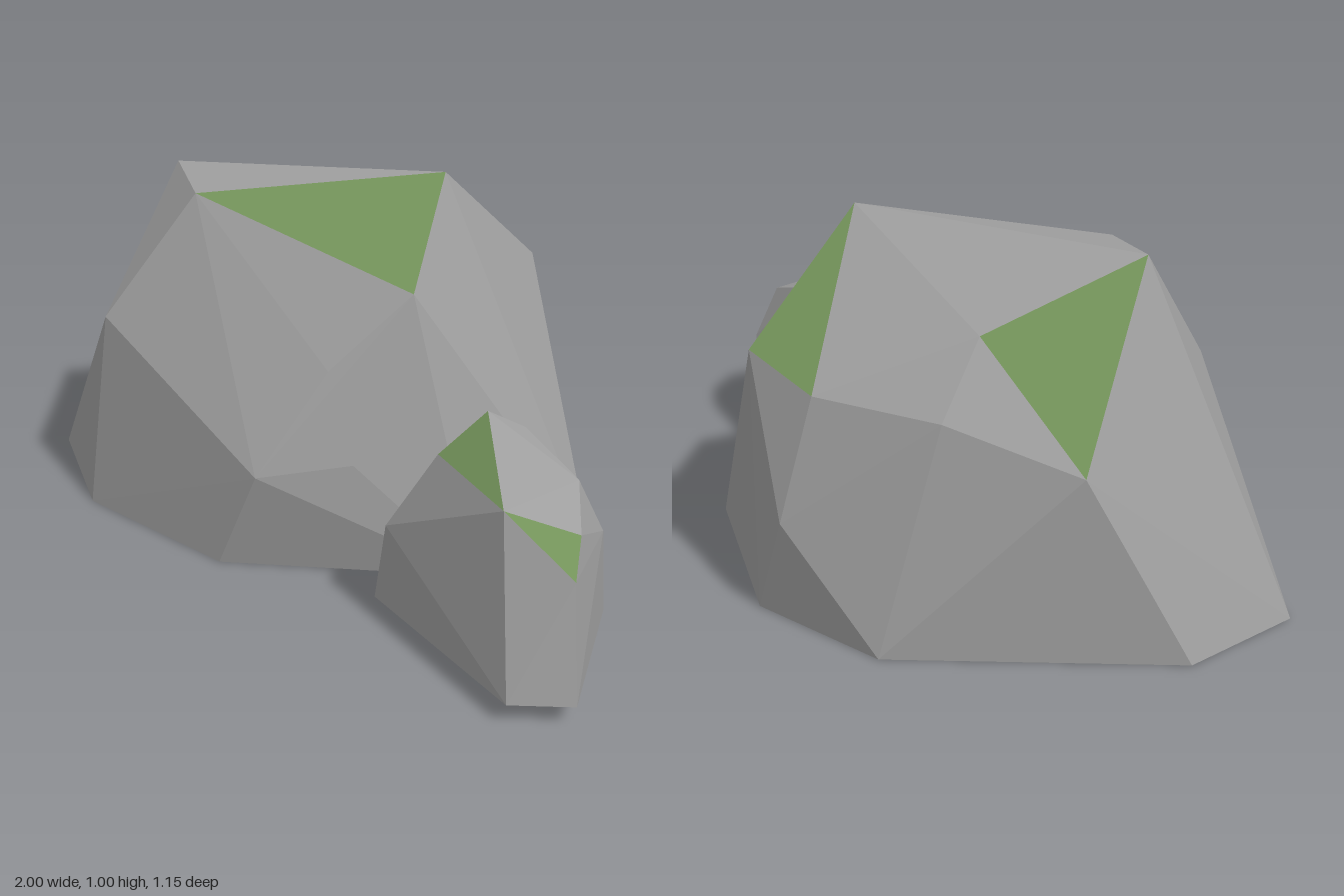
import * as THREE from 'three';
import { ConvexGeometry } from 'three/addons/geometries/ConvexGeometry.js';

const stone = new THREE.MeshStandardMaterial({ color: 0x9e9e9e });
stone.name = 'stone';
const moss = new THREE.MeshStandardMaterial({ color: 0x73935a });
moss.name = 'moss';

// A faceted boulder: hull around corner points; facets listed in patches are mossy.
function boulder(name, corners, patches) {
  const points = corners.map((c) => new THREE.Vector3(...c));
  const geometry = new ConvexGeometry(points);
  const position = geometry.attributes.position;
  const v = new THREE.Vector3();
  const cornerAt = (i) => {
    v.fromBufferAttribute(position, i);
    return points.findIndex((p) => p.distanceTo(v) < 1e-3);
  };
  for (let i = 0; i < position.count; i += 3) {
    const facet = [cornerAt(i), cornerAt(i + 1), cornerAt(i + 2)];
    const mossy = patches.some((patch) => facet.every((c) => patch.includes(c)));
    geometry.addGroup(i, 3, mossy ? 1 : 0);
  }
  const mesh = new THREE.Mesh(geometry, [stone, moss]);
  mesh.name = name;
  return mesh;
}

export function createModel() {
  const group = new THREE.Group();
  group.name = 'mossyRocks';

  group.add(boulder('largeRock', [
    // crown
    [-0.42, 0.93, 0.31], [0.07, 1, -0.14], [0.2, 0.765, 0.11], [-0.62, 0.95, 0.21],
    // shoulders
    [0.09, 0.68, -0.485], [-0.15, 0.627, -0.48], [-0.76, 0.51, -0.15], [-0.43, 0.786, -0.18],
    [-0.46, 0.61, -0.335], [-0.57, 0.59, 0.525], [0.08, 0.57, 0.3],
    // lower bulges
    [0, 0.3, 0.49], [0.17, 0.33, 0.3], [-0.13, 0.3, -0.577],
    // foot
    [-1, 0, 0.41], [-0.64, 0, 0.575], [-0.13, 0, 0.52], [0.41, 0, 0.08],
    [0.485, 0, -0.3], [-0.01, 0, -0.56], [-0.41, 0, -0.5], [-0.96, 0, 0.05],
  ], [[0, 1, 2], [1, 4, 5], [3, 6, 7]]));

  group.add(boulder('smallRock', [
    // crown
    [0.48, 0.49, 0.31], [0.54, 0.59, 0.2], [0.78, 0.5, 0.41], [0.61, 0.55, 0.14],
    [0.8, 0.49, 0.165],
    // shoulders
    [0.95, 0.36, 0.35], [0.9, 0.43, 0.275], [0.38, 0.28, 0.39], [0.835, 0.34, 0.105],
    // foot
    [0.3, 0.06, 0.19], [0.35, 0.06, 0.4], [0.88, 0.06, 0.495], [1, 0.06, 0.385],
    [0.8, 0.06, 0.035], [0.41, 0.06, 0.03],
  ], [[0, 1, 2], [2, 5, 6]]));

  return group;
}
